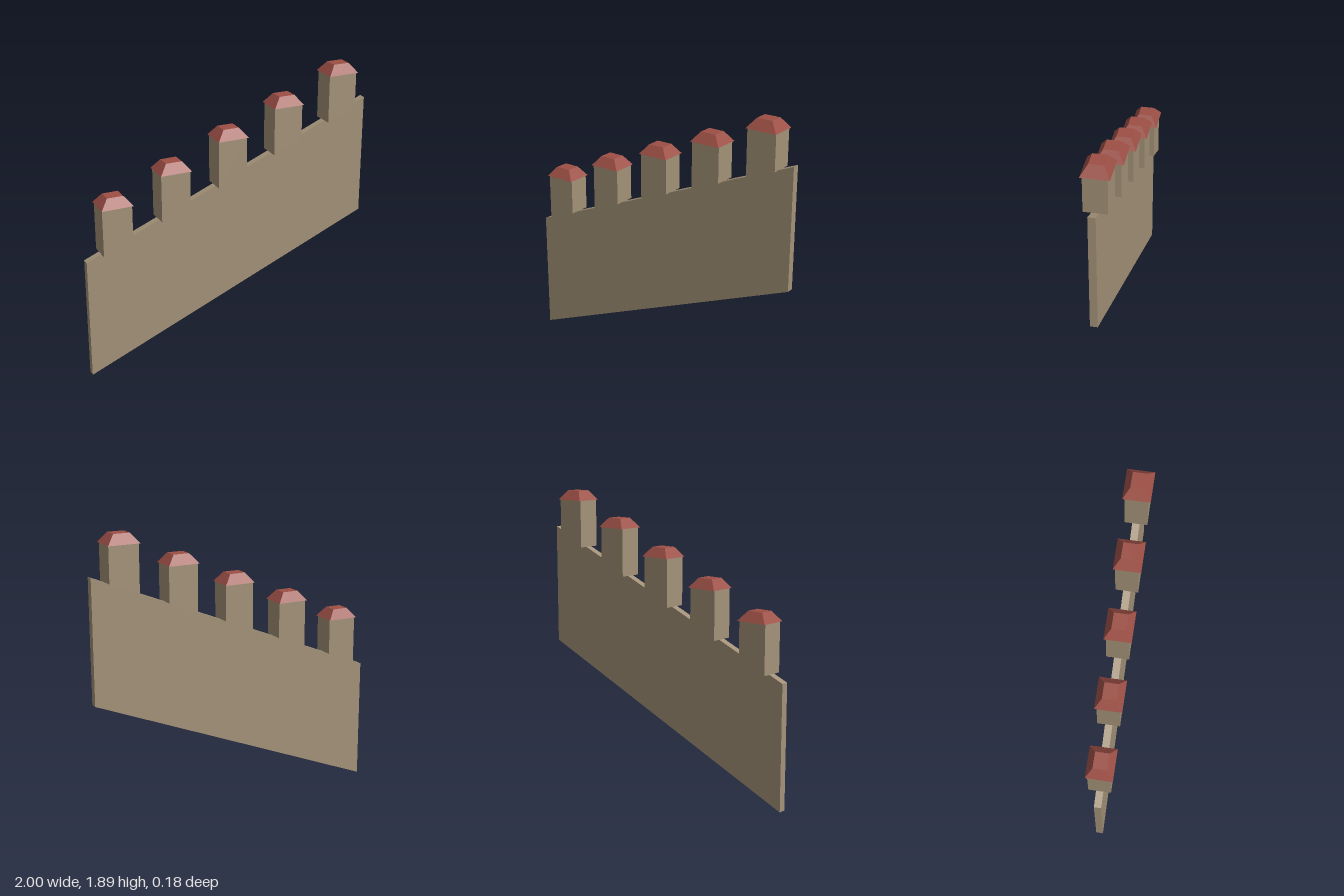
import * as THREE from 'three';

const SLOPE = 0.408, WALL_H = 0.818;
const stone = new THREE.MeshStandardMaterial({ color: 0xa39278 });
stone.name = 'stone';
const tile = new THREE.MeshStandardMaterial({ color: 0x9c4f45 });
tile.name = 'roofTile';

// Box whose given vertices are moved by a rule, with flat normals rebuilt
function shapedBox(w, h, d, rule) {
  const g = new THREE.BoxGeometry(w, h, d).toNonIndexed();
  const p = g.attributes.position, v = new THREE.Vector3();
  for (let i = 0; i < p.count; i++) {
    v.fromBufferAttribute(p, i);
    rule(v);
    p.setXYZ(i, v.x, v.y, v.z);
  }
  g.computeVertexNormals();
  return g;
}

function part(name, geometry, material) {
  const m = new THREE.Mesh(geometry, material);
  m.name = name;
  return m;
}

export function createModel() {
  const model = new THREE.Group();
  model.name = 'slopingWall';

  // Sheared wall slab
  const wall = part('wall', shapedBox(2, WALL_H, 0.048, v => { v.y += SLOPE * v.x; }), stone);
  wall.position.y = WALL_H / 2 + SLOPE;
  model.add(wall);

  // Battlement posts: level top, underside following the slope
  const postGeo = shapedBox(0.2, 0.28, 0.148, v => {
    v.y = v.y > 0 ? 0.28 : SLOPE * v.x;
  });
  // Hipped cap, tapering to a small flat top
  const capGeo = shapedBox(0.212, 0.064, 0.176, v => {
    if (v.y > 0) { v.x *= 0.51; v.z *= 0.52; }
  });

  for (let i = -2; i <= 2; i++) {
    const x = i * 0.4;
    const merlon = new THREE.Group();
    merlon.name = 'merlon';
    merlon.position.set(x, WALL_H + SLOPE * (1 + x), 0);
    const cap = part('cap', capGeo, tile);
    cap.position.y = 0.28 + 0.03;
    merlon.add(part('post', postGeo, stone), cap);
    model.add(merlon);
  }
  return model;
}
